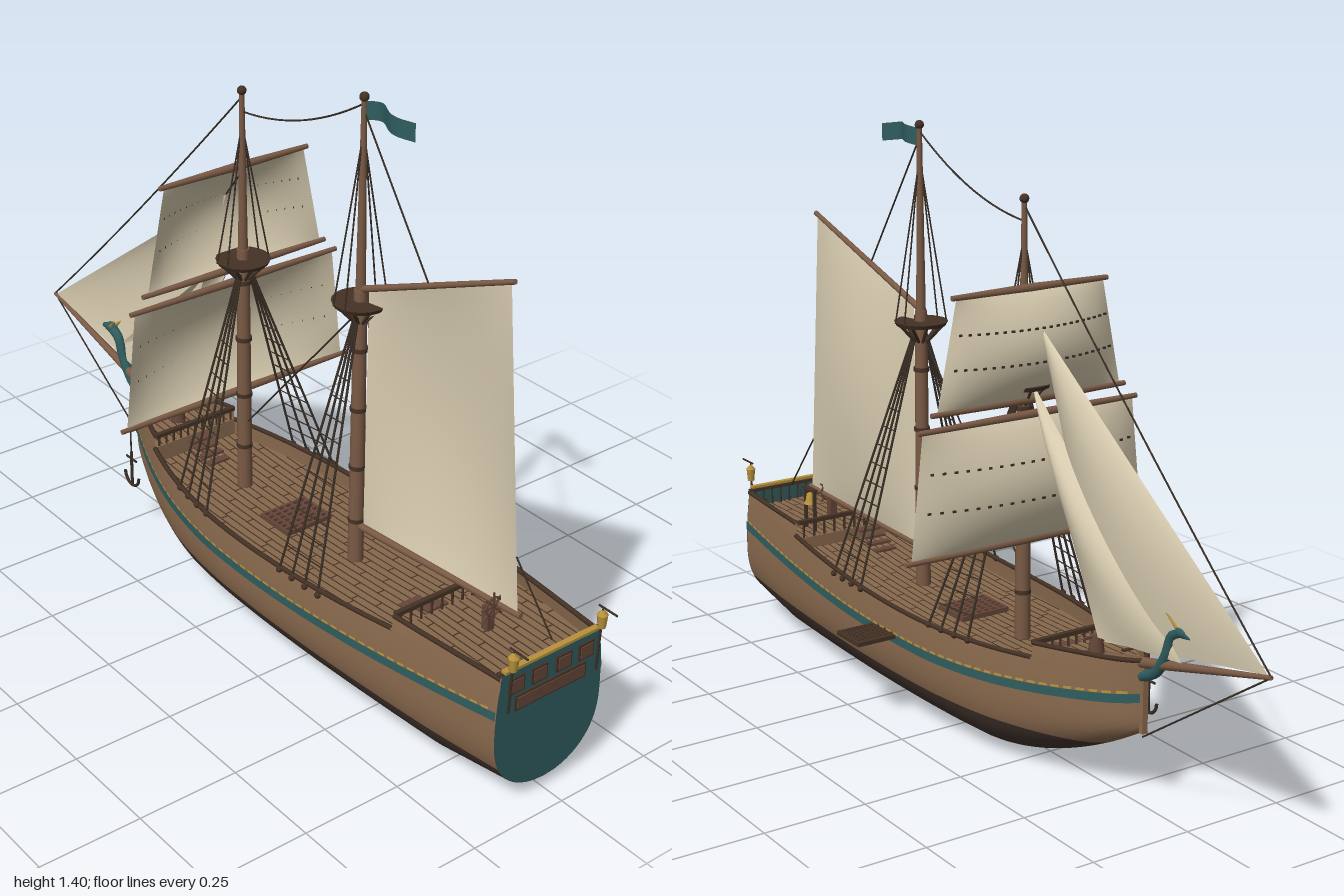
import * as THREE from 'three';
import { mergeGeometries } from 'three/addons/utils/BufferGeometryUtils.js';

const V = (x, y, z) => new THREE.Vector3(x, y, z);
const lerp = THREE.MathUtils.lerp;

// Smooth half-breadth of the hull along z
const beamCurve = new THREE.CatmullRomCurve3([
  [-0.59, 0.006], [-0.55, 0.04], [-0.45, 0.087], [-0.32, 0.135], [-0.2, 0.167], [-0.05, 0.191],
  [0.1, 0.2], [0.3, 0.2], [0.5, 0.191], [0.7, 0.176], [0.94, 0.153],
].map(([z, b]) => V(b, 0, z))).getPoints(200);
function beam(z) {
  let i = 1;
  while (i < 200 && beamCurve[i].z < z) i++;
  const a = beamCurve[i - 1], b = beamCurve[i];
  return lerp(a.x, b.x, THREE.MathUtils.clamp((z - a.z) / (b.z - a.z), 0, 1));
}
const keel = z => z < -0.15 ? 0.172 * ((-0.15 - z) / 0.44) ** 1.6 : z > 0.74 ? 0.03 * (z - 0.74) / 0.2 : 0;
const sheer = z => 0.283 + 0.08 * z * z;
const stripe = z => 0.196 + (z > 0 ? 0.056 : 0.13) * z * z;
function halfWidth(z, y) {
  const k = keel(z), yb = Math.max(0.2, k + 0.05);
  if (y >= yb) return beam(z) * (1 - 0.08 * ((y - yb) / 0.15) ** 2);
  const u = Math.min(1, (yb - y) / (yb - k));
  return beam(z) * Math.sqrt(Math.max(0, 1 - u ** 2.5));
}

// Surface patch from a rule f(u, v) -> point
function grid(nu, nv, f, flip = false) {
  const pos = [], idx = [];
  for (let j = 0; j <= nv; j++) for (let i = 0; i <= nu; i++) pos.push(...f(i / nu, j / nv));
  for (let j = 0; j < nv; j++) for (let i = 0; i < nu; i++) {
    const a = j * (nu + 1) + i, b = a + 1, c = a + nu + 1, d = c + 1;
    idx.push(...(flip ? [a, c, b, b, c, d] : [a, b, c, b, d, c]));
  }
  const g = new THREE.BufferGeometry();
  g.setAttribute('position', new THREE.Float32BufferAttribute(pos, 3));
  g.setIndex(idx);
  g.computeVertexNormals();
  return g;
}
// Band of planking on both sides, between two heights
function hullBand(z0, z1, lo, hi, off = 0, nu = 48, nv = 4) {
  return mergeGeometries([1, -1].map(s => grid(nu, nv, (u, v) => {
    const z = lerp(z0, z1, u), y = lerp(lo(z), Math.max(lo(z), hi(z)), v ** 1.6);
    return [s * (halfWidth(z, y) + off), y, z];
  }, s > 0)));
}
// Flat run of deck between two x rules
const ribbon = (z0, z1, xa, xb, y, nu = 30) =>
  grid(nu, 1, (u, v) => { const z = lerp(z0, z1, u); return [v ? xb(z) : xa(z), y(z), z]; }, true);
const box = (w, h, d, x, y, z) => new THREE.BoxGeometry(w, h, d).translate(x, y, z);
// Straight round bar between two points
function bar(a, b, r0, r1 = r0, n = 10) {
  const d = b.clone().sub(a), g = new THREE.CylinderGeometry(r1, r0, d.length(), n);
  g.applyQuaternion(new THREE.Quaternion().setFromUnitVectors(V(0, 1, 0), d.normalize()));
  return g.translate((a.x + b.x) / 2, (a.y + b.y) / 2, (a.z + b.z) / 2);
}
function rope(a, b, r = 0.0022, sag = 0) {
  const m = a.clone().lerp(b, 0.5); m.y -= sag * 2;
  return new THREE.TubeGeometry(new THREE.QuadraticBezierCurve3(a, m, b), sag ? 14 : 1, r, 5);
}
// Sail through four corners (bottom a-b, top d-c) with a billow vector
function sailPoint(a, b, c, d, w, u, v) {
  return a.clone().lerp(b, u).lerp(d.clone().lerp(c, u), v).addScaledVector(w, Math.sin(Math.PI * u) ** 0.8 * Math.sin(Math.PI * v) ** 0.8);
}
const sail = (a, b, c, d, w) => grid(20, 20, (u, v) => sailPoint(a, b, c, d, w, u, v).toArray());

export function createModel() {
  const root = new THREE.Group();
  const mat = (name, color) => Object.assign(new THREE.MeshStandardMaterial({ color, side: THREE.DoubleSide }), { name });
  const wood = mat('hullWood', 0x8a6a4e), bottom = mat('darkBottom', 0x42342d), trim = mat('darkTrim', 0x453226),
    deckM = mat('deckWood', 0x86684c), spar = mat('sparWood', 0x7a5a45), cloth = mat('canvas', 0xd8ccb0),
    teal = mat('tealPaint', 0x2f5c5e), gold = mat('gold', 0xb8923c), line = mat('rope', 0x3a2f26), red = mat('redBrown', 0x654638);
  function add(name, m, geos) {
    const list = [].concat(geos);
    const mesh = new THREE.Mesh(list.length > 1 ? mergeGeometries(list) : list[0], m);
    mesh.name = name; root.add(mesh);
    return mesh;
  }

  // Hull, painted stripe and bulwarks
  const water = z => Math.max(0.11, keel(z)), BOW = -0.59, STERN = 0.94, Q = 0.63, F = -0.345;
  const qTop = () => 0.345, fTop = z => 0.326 + 0.05 * (F - z);
  add('hullBottom', bottom, hullBand(BOW, STERN, keel, water, 0, 70, 14));
  add('hullSides', wood, hullBand(BOW, STERN, water, sheer, 0, 70, 8));
  add('raisedSides', wood, [hullBand(Q, STERN, z => Math.min(sheer(z), 0.345), qTop, 0, 16), hullBand(BOW, F, sheer, fTop, 0, 16)]);
  add('stripe', teal, hullBand(BOW, STERN, stripe, z => stripe(z) + 0.021, 0.003, 70, 1));
  const dashes = [];
  for (let z = BOW + 0.02; z < STERN - 0.02; z += 0.03)
    dashes.push(hullBand(z, z + 0.02, q => stripe(q) + 0.022, q => stripe(q) + 0.028, 0.004, 1, 1));
  add('goldDashes', gold, dashes);
  add('stem', wood, box(0.014, 0.17, 0.012, 0, 0.255, -0.592));

  // Cap rails
  const rail = (z0, z1, top) => [1, -1].map(s => new THREE.TubeGeometry(new THREE.CatmullRomCurve3(
    Array.from({ length: 13 }, (_, i) => { const z = lerp(z0, z1, i / 12); return V(s * halfWidth(z, top(z)), top(z), z); })), 24, 0.006, 6));
  add('capRails', trim, [...rail(Q, STERN, qTop), ...rail(F, Q, sheer), ...rail(BOW, F, fTop)]);

  // Decks with plank seams
  const decks = [[Q, STERN, () => 0.305], [F, Q, z => sheer(z) - 0.04], [BOW, F, z => fTop(z) - 0.03]];
  const edge = z => Math.max(0.001, beam(z) * 0.965 - 0.002);
  const seams = [];
  for (const [z0, z1, y] of decks) {
    add('deck', deckM, ribbon(z0, z1, z => -edge(z), edge, y));
    for (let i = -9; i <= 9; i++) {
      const x = i * 0.02;
      let a = z0, b = z1;
      while (a < b && edge(a) < Math.abs(x) + 0.003) a += 0.01;
      while (b > a && edge(b) < Math.abs(x) + 0.003) b -= 0.01;
      if (b - a < 0.03) continue;
      seams.push(ribbon(a, b, () => x - 0.0018, () => x + 0.0018, z => y(z) + 0.0015, 10));
      for (let k = 0, z = a + 0.03 + ((i * 7 + 70) % 5) * 0.03; z < b - 0.02; z += 0.16, k++)
        seams.push(ribbon(z, z + 0.004, () => x, () => Math.min(x + 0.02, edge(z)), q => y(q) + 0.0015, 1));
    }
  }
  add('plankSeams', trim, seams);
  add('deckBreaks', wood, [[Q, 0.305], [F, 0.296]].map(([z, t]) => box(2 * edge(z), t - 0.25, 0.008, 0, (t + 0.25) / 2, z)));
  const rails = [box(0.33, 0.01, 0.012, 0, 0.347, Q), box(0.24, 0.01, 0.012, 0, 0.326, F), box(0.29, 0.008, 0.012, 0, 0.352, 0.932)];
  for (let i = -5; i <= 5; i++) rails.push(bar(V(i * 0.03, 0.3, Q), V(i * 0.03, 0.345, Q), 0.003),
    bar(V(i * 0.022, 0.29, F), V(i * 0.022, 0.325, F), 0.003), bar(V(i * 0.026, 0.3, 0.932), V(i * 0.026, 0.35, 0.932), 0.003));
  add('railings', trim, rails);

  // Transom with windows and board
  add('transom', teal, grid(16, 24, (u, v) => {
    const y = lerp(0.03, 0.355, v ** 1.5);
    return [(2 * u - 1) * halfWidth(STERN, y), y, 0.941];
  }));
  add('sternTrim', gold, box(0.27, 0.007, 0.014, 0, 0.359, 0.938));
  const wx = [-0.1, -0.035, 0.035, 0.1];
  add('windowFrames', trim, [...wx.map(x => box(0.044, 0.04, 0.004, x, 0.317, 0.943)), box(0.204, 0.038, 0.004, 0, 0.269, 0.943)]);
  add('windowPanes', red, [...wx.map(x => box(0.034, 0.03, 0.004, x, 0.317, 0.945)), box(0.194, 0.028, 0.004, 0, 0.269, 0.945)]);
  for (const s of [1, -1]) {
    const x = s * 0.127;
    add('lantern', gold, [new THREE.CylinderGeometry(0.012, 0.009, 0.032, 8).translate(x, 0.388, 0.957),
      new THREE.ConeGeometry(0.013, 0.014, 8).translate(x, 0.411, 0.957)]);
    add('lanternBracket', line, [bar(V(x, 0.26, 0.95), V(x, 0.37, 0.955), 0.003), bar(V(x, 0.422, 0.945), V(x, 0.422, 0.998), 0.0025),
      bar(V(x, 0.422, 0.957), V(x, 0.41, 0.957), 0.002)]);
  }

  // Masts, tops, shrouds and ratlines
  for (const [name, z, nest, top] of [['mainMast', 0.295, 0.915, 1.39], ['foreMast', -0.135, 0.855, 1.275]]) {
    add(name, spar, [bar(V(0, 0.2, z), V(0, nest + 0.03, z), 0.019, 0.015, 14), bar(V(0, nest, z), V(0, top, z), 0.012, 0.006, 12)]);
    const bands = [0.36, 0.5, 0.65, 0.8].map(y => new THREE.CylinderGeometry(0.0195, 0.0195, 0.01, 14).translate(0, y, z));
    add(name + 'Bands', trim, [...bands, new THREE.SphereGeometry(0.011, 12, 8).translate(0, top, z)]);
    const nestParts = [new THREE.CylinderGeometry(0.065, 0.06, 0.01, 20).translate(0, nest, z)];
    for (let i = 0; i < 10; i++) {
      const a = i * Math.PI / 5, c = Math.cos(a), s = Math.sin(a);
      nestParts.push(bar(V(0.016 * c, nest - 0.045, z + 0.016 * s), V(0.058 * c, nest, z + 0.058 * s), 0.004, 0.004, 6));
    }
    add(name + 'Top', trim, nestParts);
    const ropes = [], eyes = [];
    for (const s of [1, -1]) {
      const ends = [-0.03, 0.015, 0.06, 0.105].map(o => V(s * (halfWidth(z + o, 0.285) + 0.004), 0.285, z + o));
      const heads = ends.map((_, i) => V(s * 0.016, nest - 0.03, z + i * 0.004));
      ends.forEach((e, i) => { ropes.push(rope(heads[i], e, 0.003)); eyes.push(new THREE.SphereGeometry(0.008, 8, 6).translate(e.x, e.y, e.z)); });
      for (let t = 0.1; t < 0.9; t += 0.075) ropes.push(rope(ends[0].clone().lerp(heads[0], t), ends[3].clone().lerp(heads[3], t), 0.0016));
      for (const o of [-0.02, 0.02]) ropes.push(rope(V(s * 0.06, nest, z + o), V(s * 0.006, top - 0.11, z), 0.002));
    }
    add(name + 'Shrouds', line, ropes);
    add(name + 'Deadeyes', trim, eyes);
  }

  // Square sails with yards and reef points
  const yz = -0.163;
  for (const [y0, w0, y1, w1] of [[0.495, 0.335, 0.79, 0.3], [0.825, 0.265, 1.08, 0.21]]) {
    const c = [V(-w0 + 0.015, y0, yz), V(w0 - 0.015, y0, yz), V(w1 - 0.012, y1, yz), V(-w1 + 0.012, y1, yz), V(0, 0, -0.055)];
    add('squareSail', cloth, sail(...c));
    add('yards', spar, [[y0, w0], [y1, w1]].flatMap(([y, w]) => [1, -1].map(s => bar(V(0, y, yz), V(s * w, y, yz), 0.01, 0.006))));
    const reefs = [];
    for (const v of [0.38, 0.68]) for (let i = 1; i < 22; i++) {
      const p = sailPoint(...c, i / 22, v);
      reefs.push(box(0.008, 0.005, 0.003, p.x, p.y, p.z - 0.002));
    }
    add('reefPoints', line, reefs);
  }

  // Fore-and-aft sail with gaff and boom
  const tack = V(0.005, 0.352, 0.315), clew = V(0.018, 0.375, 0.815), peak = V(0.035, 1.115, 0.725), throat = V(0.005, 0.952, 0.318);
  add('spanker', cloth, sail(tack, clew, peak, throat, V(0.034, 0, 0)));
  add('gaffAndBoom', spar, [bar(V(0, 0.948, 0.3), V(0.035, 1.122, 0.735), 0.008, 0.006), bar(V(0, 0.346, 0.3), V(0.018, 0.372, 0.825), 0.009, 0.007)]);

  // Bowsprit and jibs
  const tip = V(0, 0.435, -0.995);
  add('bowsprit', spar, bar(V(0, 0.3, -0.46), tip, 0.015, 0.005, 12));
  const head1 = V(0, 1.0, -0.2), head2 = V(0, 0.865, -0.17);
  add('outerJib', cloth, sail(V(0, 0.335, -0.45), V(0, 0.437, -0.985), head1, head1, V(0.025, 0, 0)));
  add('innerJib', cloth, sail(V(0.012, 0.345, -0.44), V(0.004, 0.375, -0.72), head2, head2, V(0.035, 0, 0)));

  // Standing and running rigging
  add('stays', line, [rope(V(0, 1.375, 0.295), V(0, 1.225, -0.135), 0.0022, 0.03), rope(V(0, 1.26, -0.135), tip, 0.0022, 0.012),
    rope(tip, V(0, 0.16, -0.59)), rope(V(0, 0.89, 0.29), V(0, 0.43, -0.12)), rope(V(0, 1.36, 0.295), V(0.015, 1.03, 0.5)),
    rope(clew.clone().lerp(peak, 0.18), V(0.03, 0.355, 0.91)), rope(head1, V(0, 1.08, -0.135))]);

  // Pennant
  add('flag', teal, grid(14, 3, (u, v) => [0.012 * Math.sin(u * 7), lerp(1.343, 1.385, v) + 0.006 * Math.sin(u * 4) - 0.003, 0.3 + u * 0.15]));

  // Serpent figurehead
  add('figurehead', teal, [
    new THREE.TubeGeometry(new THREE.CatmullRomCurve3([V(0, 0.3, -0.585), V(0, 0.325, -0.63), V(0, 0.375, -0.665), V(0, 0.425, -0.685), V(0, 0.443, -0.715)]), 20, 0.013, 10),
    new THREE.SphereGeometry(0.017, 12, 8).scale(0.9, 0.8, 1.2).translate(0, 0.444, -0.718), bar(V(0, 0.443, -0.72), V(0, 0.438, -0.752), 0.013, 0.006)]);
  add('horns', gold, [1, -1].map(s => bar(V(s * 0.008, 0.452, -0.708), V(s * 0.016, 0.478, -0.68), 0.005, 0.001, 6)));

  // Boarding platform
  const plat = [0, 1].flatMap(i => [box(0.105, 0.01, 0.008, 0.252, 0.215, 0.104 + i * 0.092), box(0.008, 0.01, 0.1, 0.204 + i * 0.097, 0.215, 0.15)]);
  for (let i = 1; i < 8; i++) plat.push(box(0.1, 0.007, 0.007, 0.252, 0.215, 0.1 + i * 0.0125), box(0.005, 0.006, 0.1, 0.2 + i * 0.0125, 0.215, 0.15));
  add('boardingPlatform', trim, plat);

  // Anchor on its beam
  add('cathead', trim, box(0.08, 0.01, 0.01, -0.09, 0.3, -0.45));
  add('anchor', line, [rope(V(-0.126, 0.3, -0.45), V(-0.126, 0.235, -0.45)), bar(V(-0.126, 0.235, -0.45), V(-0.126, 0.14, -0.45), 0.004),
    bar(V(-0.126, 0.215, -0.472), V(-0.126, 0.215, -0.428), 0.003),
    new THREE.TorusGeometry(0.03, 0.004, 6, 14, Math.PI).rotateZ(Math.PI).rotateY(Math.PI / 2).translate(-0.126, 0.168, -0.45)]);

  // Hatch grating, ladders, capstan
  const hatch = [];
  for (let i = 0; i <= 6; i++) hatch.push(box(0.13, 0.012, 0.006, 0, 0.254, 0.02 + i * 0.0167), box(0.006, 0.012, 0.106, -0.063 + i * 0.021, 0.254, 0.07));
  add('hatchGrating', red, hatch);
  const steps = [];
  for (let i = 0; i < 4; i++) steps.push(box(0.06, 0.006, 0.02, -0.03, 0.268 + i * 0.011, 0.53 + i * 0.026), box(0.06, 0.006, 0.02, 0, 0.258 + i * 0.01, -0.25 - i * 0.024));
  add('ladders', red, steps);
  add('capstan', red, [new THREE.CylinderGeometry(0.014, 0.02, 0.045, 10).translate(0, 0.32, -0.42), box(0.07, 0.006, 0.006, 0, 0.34, -0.42)]);

  // Steering wheel and bell frame
  const wheel = [new THREE.TorusGeometry(0.022, 0.003, 6, 18).translate(0, 0.37, 0.76), box(0.02, 0.06, 0.02, 0, 0.335, 0.745)];
  for (let i = 0; i < 4; i++) wheel.push(new THREE.BoxGeometry(0.07, 0.004, 0.004).rotateZ(i * Math.PI / 4).translate(0, 0.37, 0.76));
  add('steeringWheel', red, wheel);
  add('bellFrame', trim, [box(0.008, 0.11, 0.007, 0.1, 0.36, 0.66), box(0.008, 0.11, 0.007, 0.1, 0.36, 0.706), box(0.012, 0.007, 0.06, 0.1, 0.414, 0.683)]);
  add('bell', gold, new THREE.LatheGeometry([[0.001, 0.03], [0.009, 0.026], [0.011, 0.01], [0.017, 0]].map(p => new THREE.Vector2(...p)), 14).translate(0.1, 0.375, 0.683));
  return root;
}
